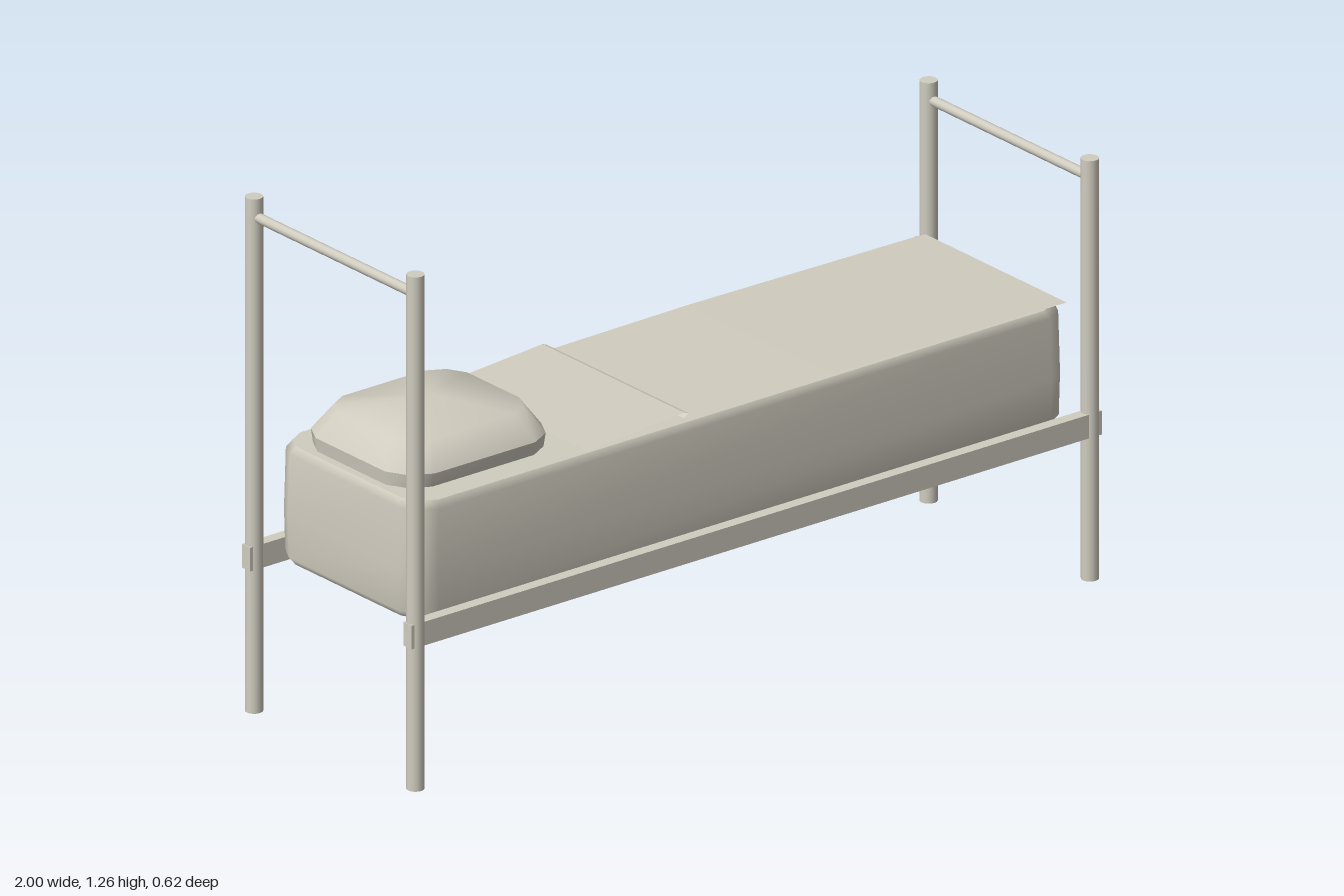
import * as THREE from 'three';

const paint = new THREE.MeshStandardMaterial({ color: 0xd0ccbf, side: THREE.DoubleSide });
paint.name = 'warm grey';

// Rectangle outline with softened corners, running from +x towards +z
function outline(hx, hz, c) {
  const quarter = [[hx, hz - c], [hx - c * 0.35, hz - c * 0.35], [hx - c, hz]];
  const flip = (sx, sz) => quarter.map(([x, z]) => [x * sx, z * sz]);
  return [...flip(1, 1), ...flip(-1, 1).reverse(), ...flip(-1, -1), ...flip(1, -1).reverse()];
}

// Smooth skin through rings [y, halfX, halfZ, corner]; optional peak closes the top
function loft(rings, peakY) {
  const pos = [], index = [], n = 12;
  for (const [y, hx, hz, c] of rings) {
    for (const [x, z] of outline(hx, hz, c)) pos.push(x, y, z);
  }
  for (let k = 0; k < rings.length - 1; k++) {
    for (let i = 0; i < n; i++) {
      const a = k * n + i, b = k * n + (i + 1) % n;
      index.push(a, a + n, b, b, a + n, b + n);
    }
  }
  if (peakY !== undefined) {
    const top = (rings.length - 1) * n, peak = rings.length * n;
    pos.push(0, peakY, 0);
    for (let i = 0; i < n; i++) index.push(peak, top + (i + 1) % n, top + i);
  }
  const geo = new THREE.BufferGeometry();
  geo.setAttribute('position', new THREE.Float32BufferAttribute(pos, 3));
  geo.setIndex(index);
  geo.computeVertexNormals();
  return geo;
}

// Strip of cloth: a side profile of [x, y] points spread across the width
function cloth(profile, halfZ) {
  const pos = [];
  for (let i = 0; i < profile.length - 1; i++) {
    const [x0, y0] = profile[i], [x1, y1] = profile[i + 1];
    pos.push(x0, y0, -halfZ, x0, y0, halfZ, x1, y1, halfZ);
    pos.push(x0, y0, -halfZ, x1, y1, halfZ, x1, y1, -halfZ);
  }
  const geo = new THREE.BufferGeometry();
  geo.setAttribute('position', new THREE.Float32BufferAttribute(pos, 3));
  geo.computeVertexNormals();
  return geo;
}

export function createModel() {
  const bed = new THREE.Group();
  bed.name = 'bed';
  const add = (parent, name, geo, x = 0, y = 0, z = 0) => {
    const mesh = new THREE.Mesh(geo, paint);
    mesh.name = name;
    mesh.position.set(x, y, z);
    parent.add(mesh);
    return mesh;
  };

  // Tubular head and foot frames
  const frames = [['head', -0.977, 1.26, 1.212], ['foot', 0.977, 1.03, 0.984]];
  for (const [end, x, height, barY] of frames) {
    const frame = new THREE.Group();
    frame.name = end + 'Frame';
    for (const side of [-1, 1]) {
      const name = end + (side > 0 ? 'FrontPost' : 'BackPost');
      add(frame, name, new THREE.CylinderGeometry(0.021, 0.021, height, 16), x, height / 2, side * 0.291);
    }
    const bar = add(frame, end + 'Crossbar', new THREE.CylinderGeometry(0.012, 0.012, 0.57, 12), x, barY, 0);
    bar.rotation.x = Math.PI / 2;
    bed.add(frame);
  }

  // Side rails running through the posts
  for (const side of [-1, 1]) {
    const name = side > 0 ? 'frontRail' : 'backRail';
    add(bed, name, new THREE.BoxGeometry(2, 0.058, 0.03), 0, 0.38, side * 0.291);
  }

  // Mattress: hollow shell, open underneath
  const mattress = new THREE.Group();
  mattress.name = 'mattress';
  add(mattress, 'mattressSides', loft([
    [0.38, 0.938, 0.25, 0.06],
    [0.397, 0.95, 0.263, 0.065],
    [0.5, 0.953, 0.264, 0.065],
    [0.65, 0.95, 0.261, 0.065],
    [0.668, 0.936, 0.25, 0.06],
  ]));
  add(mattress, 'mattressTop', loft([[0.668, 0.936, 0.25, 0.06]], 0.669));
  bed.add(mattress);

  // Pillow: flared underside band and domed top
  const pillow = new THREE.Group();
  pillow.name = 'pillow';
  pillow.position.x = -0.706;
  add(pillow, 'pillowBase', loft([[0.676, 0.222, 0.198, 0.075], [0.71, 0.226, 0.205, 0.08]]));
  add(pillow, 'pillowTop', loft([
    [0.71, 0.226, 0.205, 0.08],
    [0.772, 0.188, 0.163, 0.07],
  ], 0.8));
  bed.add(pillow);

  // Blanket with its head end folded back
  const blanket = new THREE.Group();
  blanket.name = 'blanket';
  add(blanket, 'blanketSheet', cloth([[-0.45, 0.675], [-0.16, 0.677], [0.25, 0.681], [0.938, 0.674]], 0.256));
  add(blanket, 'blanketFold', cloth([[-0.45, 0.676], [-0.17, 0.696], [-0.158, 0.692], [-0.17, 0.682]], 0.256));
  add(blanket, 'blanketHem', new THREE.PlaneGeometry(1.39, 0.055), 0.243, 0.647, -0.256);
  bed.add(blanket);

  return bed;
}
